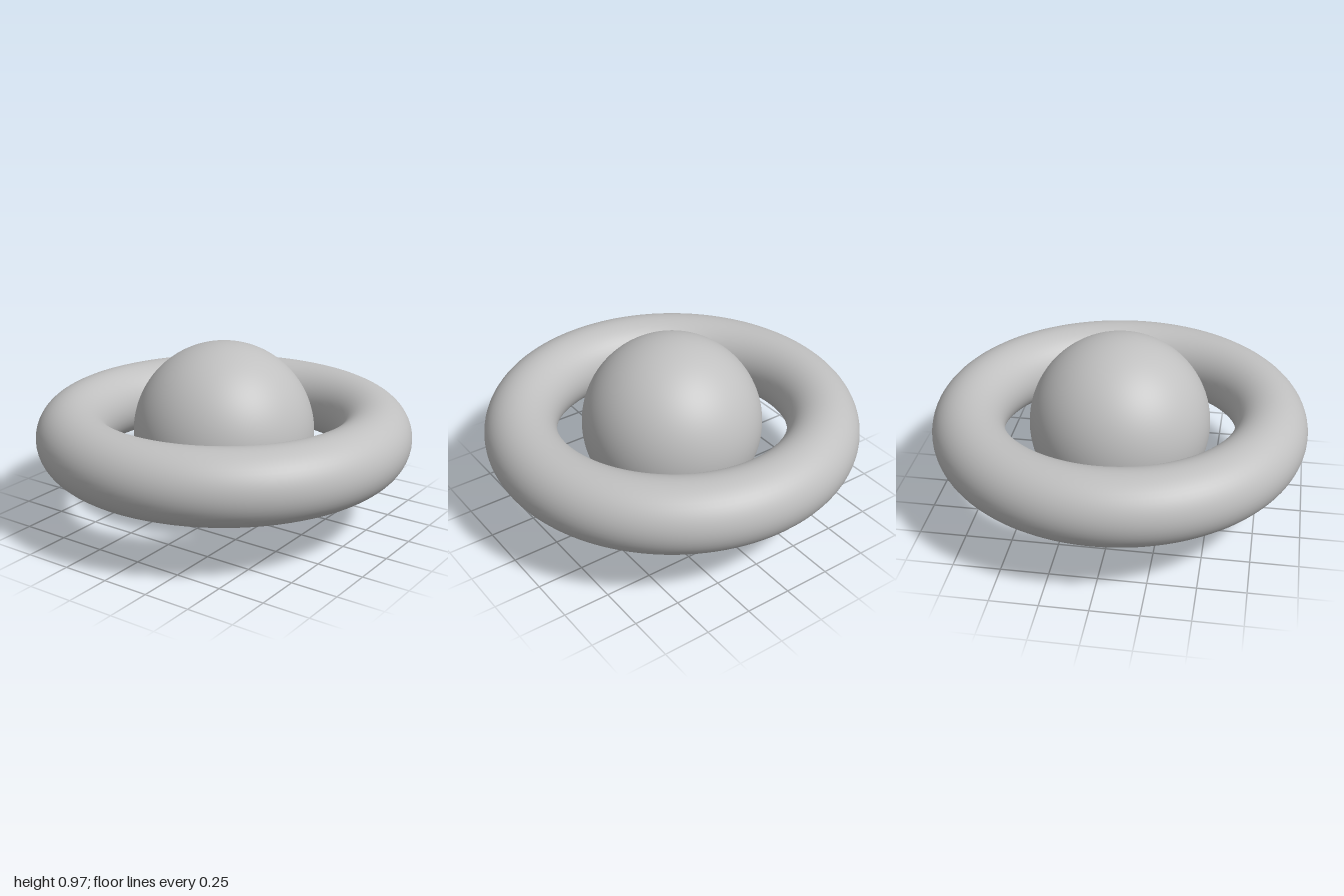
import * as THREE from 'three';

const CENTER_Y = 0.49;
const BALL_RADIUS = 0.484;
const TUBE_RADIUS = 0.192;

export function createModel() {
  const model = new THREE.Group();
  model.name = 'ringedBall';

  const gray = new THREE.MeshStandardMaterial({ color: 0xc0c0c0 });
  gray.name = 'light gray';

  // Central ball
  const ball = new THREE.Mesh(new THREE.SphereGeometry(BALL_RADIUS, 96, 64), gray);
  ball.name = 'ball';

  // Thick horizontal ring floating around the ball
  const ringGeometry = new THREE.TorusGeometry(1 - TUBE_RADIUS, TUBE_RADIUS, 48, 128);
  ringGeometry.rotateX(Math.PI / 2);
  const ring = new THREE.Mesh(ringGeometry, gray);
  ring.name = 'ring';

  for (const part of [ball, ring]) {
    part.position.y = CENTER_Y;
    model.add(part);
  }
  return model;
}
